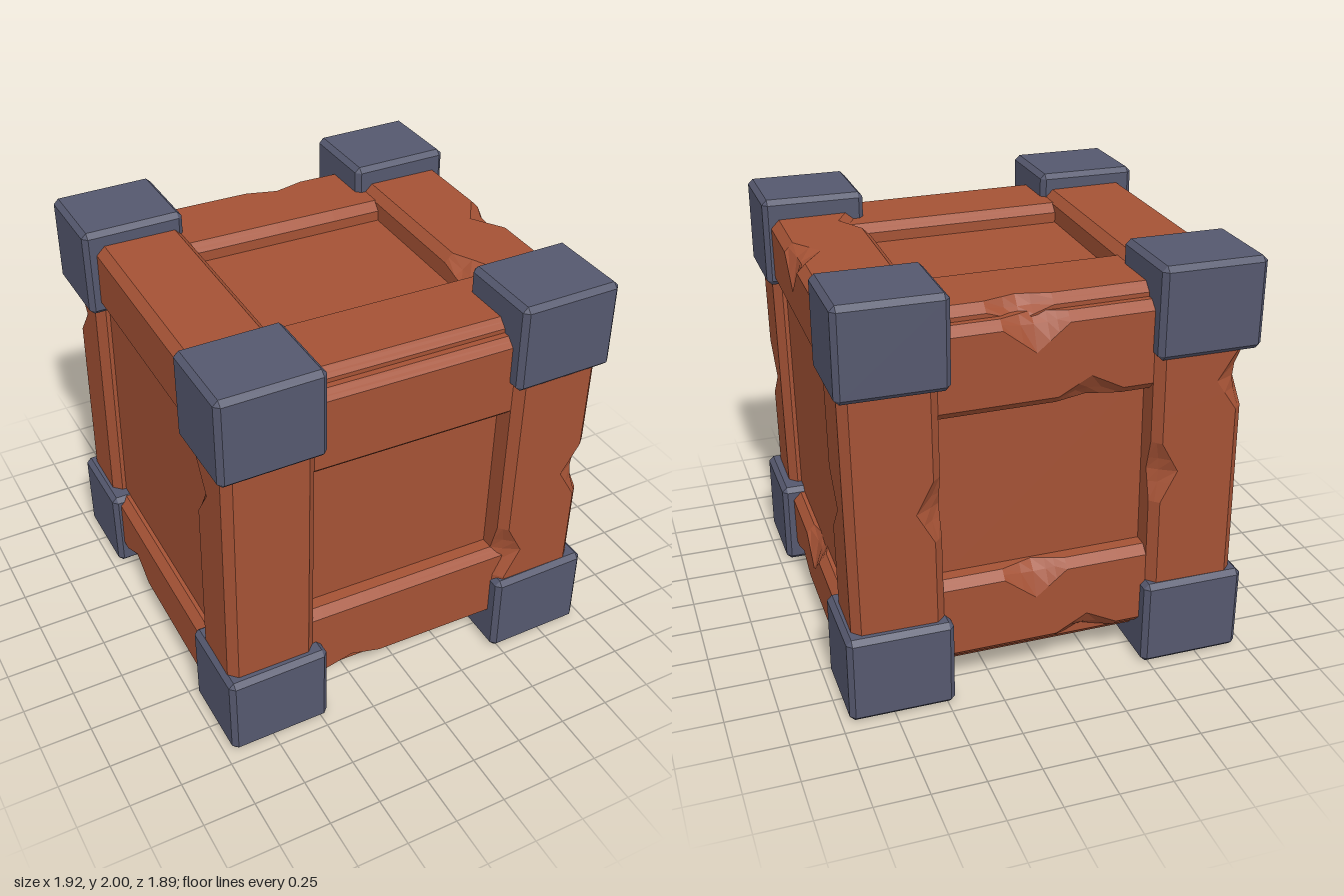
import * as THREE from 'three';
import { ConvexGeometry } from 'three/addons/geometries/ConvexGeometry.js';

const wood = new THREE.MeshStandardMaterial({ color: 0xa45235, flatShading: true });
const iron = new THREE.MeshStandardMaterial({ color: 0x55586e, flatShading: true });
const BEVEL = 0.04, CHIP_WIDTH = 0.15;

// Box with all edges cut at an angle
function chamferedBox(w, h, d, c) {
  const pts = [];
  for (const x of [-1, 1]) for (const y of [-1, 1]) for (const z of [-1, 1])
    for (let k = 0; k < 3; k++)
      pts.push(new THREE.Vector3(
        x * (w / 2 - (k === 0 ? 0 : c)),
        y * (h / 2 - (k === 1 ? 0 : c)),
        z * (d / 2 - (k === 2 ? 0 : c))));
  return new ConvexGeometry(pts);
}

// Bevelled beam lofted along an axis; the section lies in (u, v), the next two axes in cyclic order.
// Each chip is [sign u, sign v, position along beam, bite in u, bite in v].
function beamGeometry(axis, hu, hv, halfLength, chips) {
  const stations = new Set([-halfLength, halfLength]);
  for (const c of chips)
    for (const k of [-1, -0.4, 0, 0.4, 1]) stations.add(c[2] + k * CHIP_WIDTH);
  const list = [...stations].filter(s => Math.abs(s) <= halfLength).sort((a, b) => a - b);
  const place = (u, v, s) => {
    const p = [0, 0, 0];
    p[axis] = s; p[(axis + 1) % 3] = u; p[(axis + 2) % 3] = v;
    return p;
  };
  const positions = [], index = [], n = 12;
  for (const s of list) {
    for (const [su, sv] of [[1, 1], [-1, 1], [-1, -1], [1, -1]]) {
      let du = 0, dv = 0, dip = 0;
      for (const [cu, cv, t, bu, bv] of chips) {
        if (cu !== su || cv !== sv) continue;
        const f = Math.max(0, 1 - Math.abs(s - t) / CHIP_WIDTH);
        du += bu * f; dv += bv * f; dip += 0.025 * Math.min(1, f * 1.4);
      }
      const corner = [
        [hu, hv - BEVEL - dv],
        [hu - BEVEL / 2 - dip, hv - BEVEL / 2 - dip],
        [hu - BEVEL - du, hv],
      ];
      if (su * sv < 0) corner.reverse();
      for (const [u, v] of corner) positions.push(...place(su * u, sv * v, s));
    }
  }
  for (let r = 0; r < list.length - 1; r++)
    for (let i = 0; i < n; i++) {
      const a = r * n + i, b = r * n + (i + 1) % n;
      index.push(a, b, b + n, a, b + n, a + n);
    }
  // End caps
  const last = (list.length - 1) * n;
  for (let i = 1; i < n - 1; i++) {
    index.push(0, i + 1, i);
    index.push(last, last + i, last + i + 1);
  }
  const g = new THREE.BufferGeometry();
  g.setAttribute('position', new THREE.Float32BufferAttribute(positions, 3));
  g.setIndex(index);
  g.computeVertexNormals();
  return g;
}

// Wear on each beam, keyed by the signs of its position
const postChips = { // u = z, v = x
  '1,1': [[1, 1, 0, 0.15, 0.09], [1, -1, -0.4, 0.04, 0.08]],
  '1,-1': [[1, 1, 0, 0.13, 0.04], [-1, -1, 0, 0.04, 0.08]],
  '-1,-1': [[-1, -1, 0.42, 0.12, 0.1], [-1, 1, 0, 0.04, 0.08]],
  '-1,1': [[-1, -1, 0.35, 0.1, 0.04]],
};
const sideChips = { // u = x, v = y
  '1,1': [[1, 1, 0, 0.1, 0.14], [-1, 1, 0.4, 0.08, 0.04]],
  '1,-1': [[1, 1, 0, 0.04, 0.13], [1, -1, 0.3, 0.08, 0.06]],
  '-1,1': [],
  '-1,-1': [[1, -1, 0, 0.1, 0.04], [-1, -1, -0.3, 0.08, 0.08]],
};
const faceChips = { // u = y, v = z
  '1,1': [],
  '1,-1': [[1, -1, 0.05, 0.12, 0.05], [-1, -1, -0.2, 0.08, 0.04]],
  '-1,1': [[-1, 1, -0.28, 0.04, 0.1]],
  '-1,-1': [[1, -1, 0.05, 0.12, 0.05], [-1, -1, -0.2, 0.08, 0.06]],
};
const lidChips = { // u = y, v = z
  '1,1': [],
  '1,-1': [[1, -1, 0.1, 0.05, 0.04]],
  '-1,1': [[-1, -1, 0, 0.04, 0.1]],
  '-1,-1': [[-1, 1, 0.1, 0.04, 0.1]],
};

export function createModel() {
  const model = new THREE.Group();
  model.name = 'crate';

  // Wooden body, sitting very slightly askew inside the corner caps
  const body = new THREE.Group();
  body.name = 'woodenBody';
  body.position.y = 1;
  body.rotation.set(0, -0.012, -0.013);
  model.add(body);

  const add = (parent, name, geometry, material, x, y, z) => {
    const mesh = new THREE.Mesh(geometry, material);
    mesh.name = name;
    mesh.position.set(x, y, z);
    parent.add(mesh);
  };

  // Recessed panels on all six sides
  add(body, 'innerPanels', new THREE.BoxGeometry(1.72, 1.58, 1.54), wood, 0, 0, 0);

  for (const a of [1, -1]) for (const b of [1, -1]) {
    const key = `${a},${b}`;
    // Upright posts: a = x side, b = z side
    add(body, 'cornerPost', beamGeometry(1, 0.165, 0.215, 0.7, postChips[key]), wood, a * 0.705, 0, b * 0.745);
    // Front-to-back beams: a = x side, b = top or bottom
    add(body, 'sideBeam', beamGeometry(2, 0.215, 0.165, 0.7, sideChips[key]), wood, a * 0.705, b * 0.75, 0);
    // Crosswise boards: a = top or bottom, b = front or back
    add(body, 'faceBoard', beamGeometry(0, 0.21, 0.15, 0.7, faceChips[key]), wood, 0, a * 0.61, b * 0.72);
    add(body, 'lidBoard', beamGeometry(0, 0.14, 0.21, 0.7, lidChips[key]), wood, 0, a * 0.74, b * 0.59);
  }

  // Metal corner caps
  const cap = chamferedBox(0.495, 0.43, 0.43, 0.024);
  for (const x of [-1, 1]) for (const y of [-1, 1]) for (const z of [-1, 1])
    add(model, 'cornerCap', cap, iron, x * 0.7125, 1 + y * 0.785, z * 0.73);

  return model;
}
